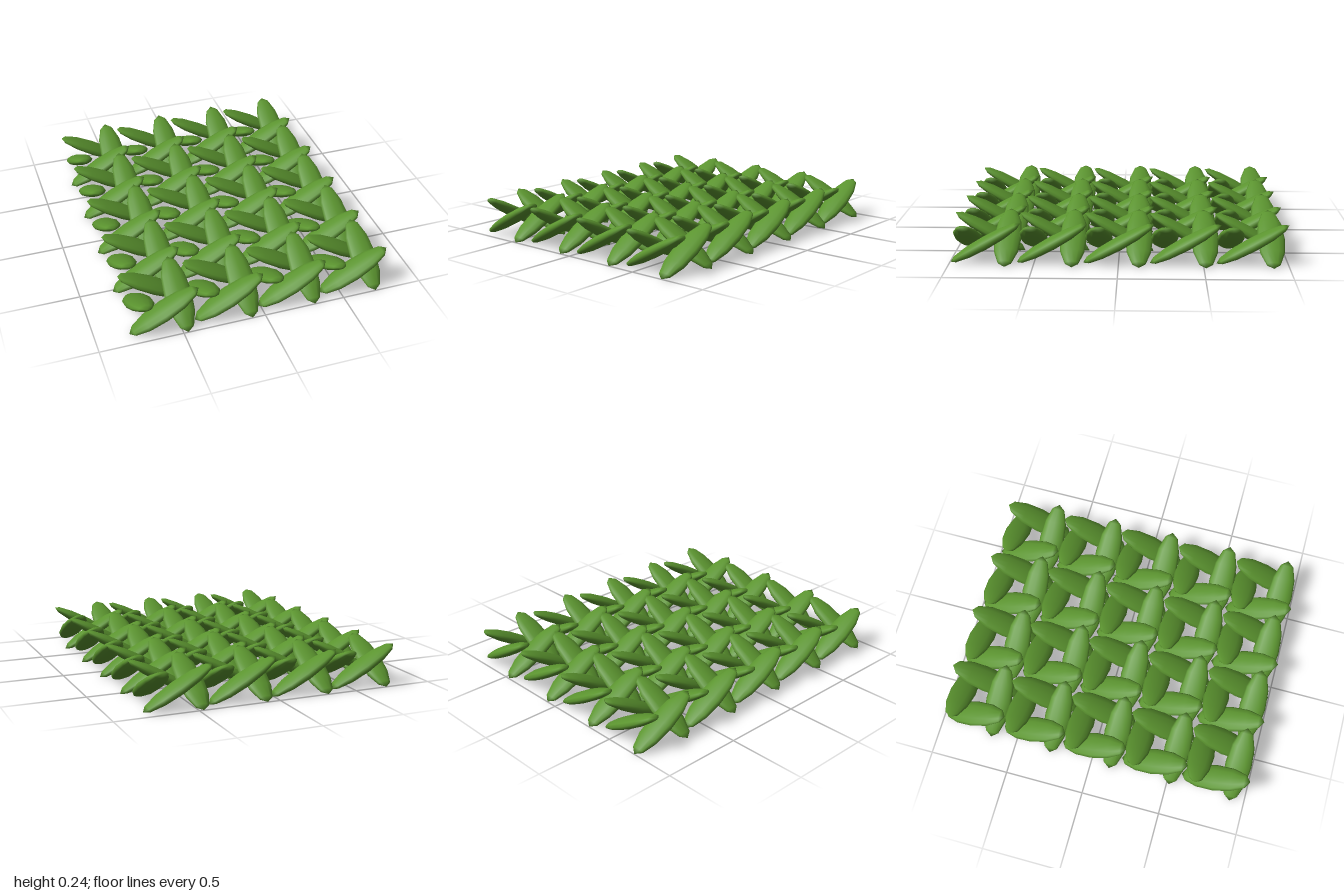
import * as THREE from 'three';

const COLUMNS = 4, ROWS = 5, PITCH = 0.394;
const HALF_LENGTH = 0.241, HALF_THICKNESS = 0.036, HALF_WIDTH = 0.083;
const TILT = THREE.MathUtils.degToRad(29.5);
const OFFSET = 0.12, MID_HEIGHT = 0.121;

export function createModel() {
  const model = new THREE.Group();
  model.name = 'wovenMat';
  const green = new THREE.MeshStandardMaterial({ color: 0x5b942f });
  green.name = 'leaf green';

  // Flattened pod with its poles at the two tips, sloping up towards +x
  const leafGeometry = new THREE.SphereGeometry(1, 12, 6);
  leafGeometry.rotateZ(-Math.PI / 2);
  leafGeometry.scale(HALF_LENGTH, HALF_THICKNESS, HALF_WIDTH);
  leafGeometry.rotateZ(TILT);
  leafGeometry.translate(0, MID_HEIGHT, OFFSET);

  // Each cell is a pinwheel of four leaves, each lying over the next
  const sides = ['frontLeaf', 'leftLeaf', 'backLeaf', 'rightLeaf'];
  for (let row = 0; row < ROWS; row++) {
    for (let column = 0; column < COLUMNS; column++) {
      const cell = new THREE.Group();
      cell.name = `weaveCell_${row}_${column}`;
      cell.position.set((column - (COLUMNS - 1) / 2) * PITCH, 0, (row - (ROWS - 1) / 2) * PITCH);
      sides.forEach((name, i) => {
        const leaf = new THREE.Mesh(leafGeometry, green);
        leaf.name = name;
        leaf.rotation.y = i * Math.PI / 2;
        cell.add(leaf);
      });
      model.add(cell);
    }
  }
  return model;
}
